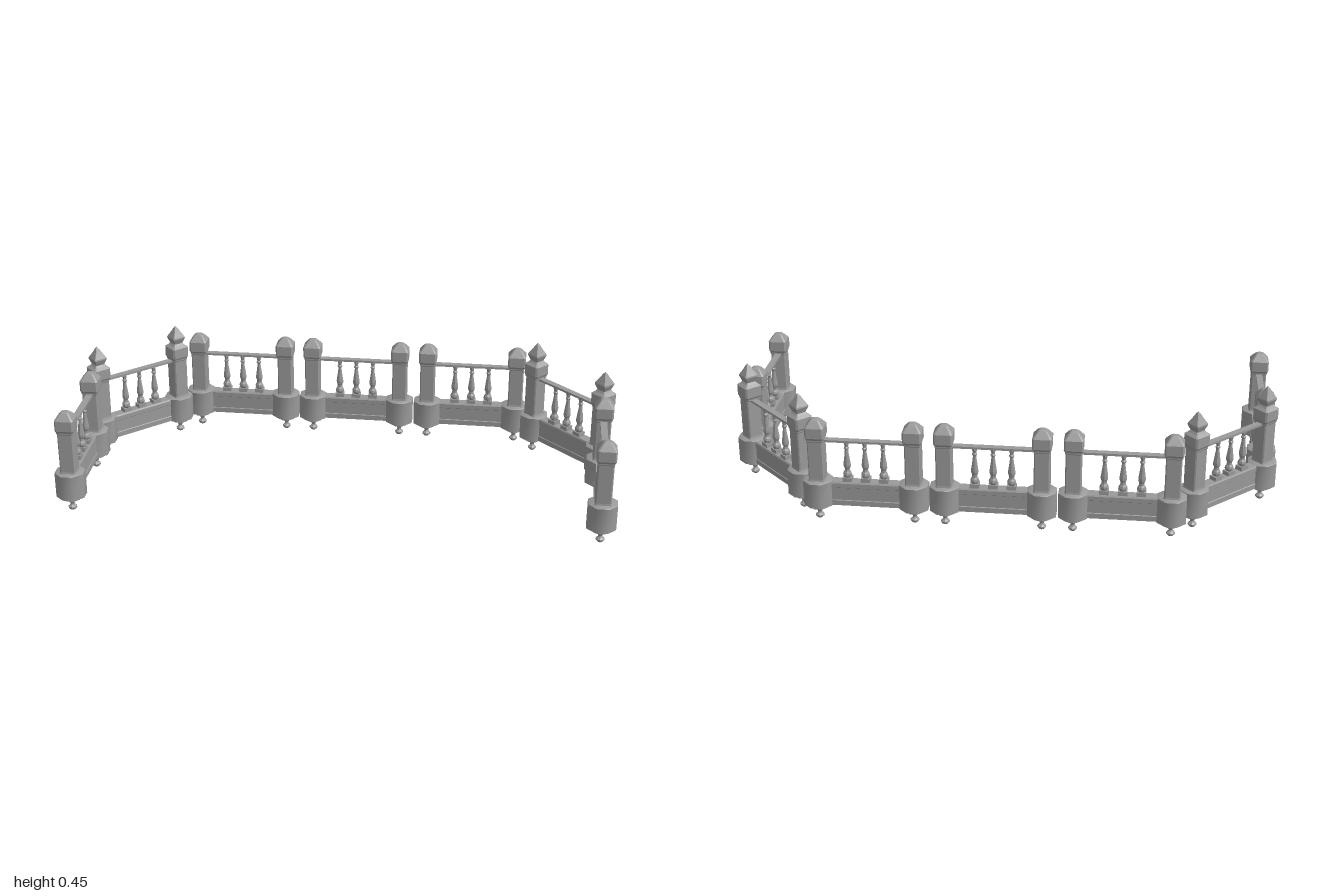
import * as THREE from 'three';
import { toCreasedNormals } from 'three/addons/utils/BufferGeometryUtils.js';

const stone = new THREE.MeshStandardMaterial({ color: 0x9a9a9a });

// Chamfered-square tower from rows of [y, half width, chamfer]
function loft(rows, crease = 0.1) {
  const rings = rows.map(([y, h, c]) => {
    const f = h - c;
    return [[h, -f], [h, f], [f, h], [-f, h], [-h, f], [-h, -f], [-f, -h], [f, -h]]
      .map(([x, z]) => [x, y, z]);
  });
  const p = [];
  for (let i = 0; i < rings.length - 1; i++) {
    for (let j = 0; j < 8; j++) {
      const k = (j + 1) % 8;
      const a0 = rings[i][j], b0 = rings[i][k], a1 = rings[i + 1][j], b1 = rings[i + 1][k];
      p.push(...a0, ...a1, ...b0, ...a1, ...b1, ...b0);
    }
  }
  const g = new THREE.BufferGeometry();
  g.setAttribute('position', new THREE.Float32BufferAttribute(p, 3));
  return toCreasedNormals(g, crease);
}

function lathe(points, sides) {
  const g = new THREE.LatheGeometry(points.map(([r, y]) => new THREE.Vector2(r, y)), sides);
  return toCreasedNormals(g, 0.1);
}

function add(parent, name, geometry, x = 0, y = 0, z = 0) {
  const m = new THREE.Mesh(geometry, stone);
  m.name = name;
  m.position.set(x, y, z);
  parent.add(m);
}

const SPAN = 0.345;       // distance between the two posts of a section
const OCT = 0.586;        // chamfer ratio of a regular octagon

// Octagonal drum, softened around its sides, with a narrower collar below
const drumGeo = loft([
  [0.042, 0, 0], [0.042, 0.02], [0.047, 0.031], [0.061, 0.031], [0.061, 0.051],
  [0.155, 0.051], [0.158, 0.047], [0.158, 0],
].map(([y, h]) => [y, h, h * OCT]), 0.85);
const pendantGeo = lathe([
  [0, 0.003], [0.009, 0.003], [0.016, 0.01], [0.016, 0.015], [0.009, 0.021],
  [0.007, 0.026], [0.012, 0.037], [0.013, 0.043],
], 8);
const shaftGeo = loft([
  [0.156, 0.030, 0.004], [0.165, 0.028, 0.004], [0.310, 0.028, 0.004],
  [0.313, 0.030, 0.004], [0.318, 0.030, 0.004], [0.326, 0.034, 0.006],
  [0.364, 0.034, 0.006], [0.364, 0, 0],
]);
// Low stepped cap and tall pointed cap
const domeGeo = loft([
  [0.364, 0.034, 0.006], [0.381, 0.021, 0.004], [0.388, 0.015, 0.004],
  [0.392, 0.009, 0.003], [0.393, 0, 0],
]);
const spireGeo = loft([
  [0.364, 0.034, 0.005], [0.373, 0.023, 0.003], [0.38, 0.018, 0.002],
  [0.401, 0.026, 0.002], [0.406, 0.025, 0.002], [0.426, 0.014, 0.002],
  [0.442, 0.006, 0.001], [0.45, 0, 0],
]);
const balusterGeo = lathe([
  [0.010, 0.168], [0.015, 0.175], [0.016, 0.181], [0.014, 0.188], [0.010, 0.194],
  [0.009, 0.202], [0.013, 0.212], [0.013, 0.221], [0.011, 0.235],
  [0.007, 0.264], [0.006, 0.276], [0.009, 0.28], [0.009, 0.284],
  [0.006, 0.288], [0.009, 0.3], [0.009, 0.308],
], 8);

// Base wall profile with a shallow sunken band on both faces
function wallGeometry() {
  const half = [[0.021, 0.064], [0.021, 0.083], [0.0185, 0.085], [0.0185, 0.132],
    [0.021, 0.134], [0.021, 0.15], [0.018, 0.155]];
  const outline = [...half, ...half.map(([z, y]) => [-z, y]).reverse()];
  const shape = new THREE.Shape(outline.map(([z, y]) => new THREE.Vector2(z, y)));
  const len = SPAN - 0.06;
  return new THREE.ExtrudeGeometry(shape, { depth: len, bevelEnabled: false })
    .translate(0, 0, -len / 2).rotateY(Math.PI / 2);
}
const wallGeo = wallGeometry();
const railGeo = new THREE.BoxGeometry(SPAN - 0.05, 0.008, 0.024);
const plinthGeo = new THREE.BoxGeometry(0.033, 0.018, 0.03);

function makePost(pointed) {
  const post = new THREE.Group();
  post.name = pointed ? 'pointedPost' : 'domedPost';
  add(post, 'drum', drumGeo);
  add(post, 'pendant', pendantGeo);
  add(post, 'shaft', shaftGeo);
  add(post, 'cap', pointed ? spireGeo : domeGeo);
  return post;
}

// One balustrade section, running along its own x axis
function makeSection(name, x0, z0, x1, z1, pointed = false) {
  const section = new THREE.Group();
  section.name = name;
  section.position.set((x0 + x1) / 2, 0, (z0 + z1) / 2);
  section.rotation.y = -Math.atan2(z1 - z0, x1 - x0);
  const length = Math.hypot(x1 - x0, z1 - z0);
  for (const s of [-1, 1]) {
    const post = makePost(pointed);
    post.position.x = s * length / 2;
    section.add(post);
  }
  add(section, 'baseWall', wallGeo);
  add(section, 'handrail', railGeo, 0, 0.31, 0);
  for (const i of [-1, 0, 1]) {
    add(section, 'plinth', plinthGeo, i * 0.065, 0.161, 0);
    add(section, 'baluster', balusterGeo, i * 0.065);
  }
  return section;
}

export function createModel() {
  const model = new THREE.Group();
  model.name = 'balustrade';
  const back = -0.386;
  // Straight back run
  model.add(makeSection('backMiddleSection', -0.172, back, 0.172, back));
  model.add(makeSection('backLeftSection', 0.281, back, 0.625, back));
  model.add(makeSection('backRightSection', -0.625, back, -0.281, back));
  // Diagonal corners with pointed posts
  model.add(makeSection('cornerLeftSection', 0.946, -0.067, 0.7, -0.311, true));
  model.add(makeSection('cornerRightSection', -0.946, -0.067, -0.7, -0.311, true));
  // Side arms; the right one is turned slightly inward
  model.add(makeSection('sideLeftSection', 0.946, 0.041, 0.946, 0.386));
  model.add(makeSection('sideRightSection', -0.947, 0.041, -0.94, 0.386));
  return model;
}
